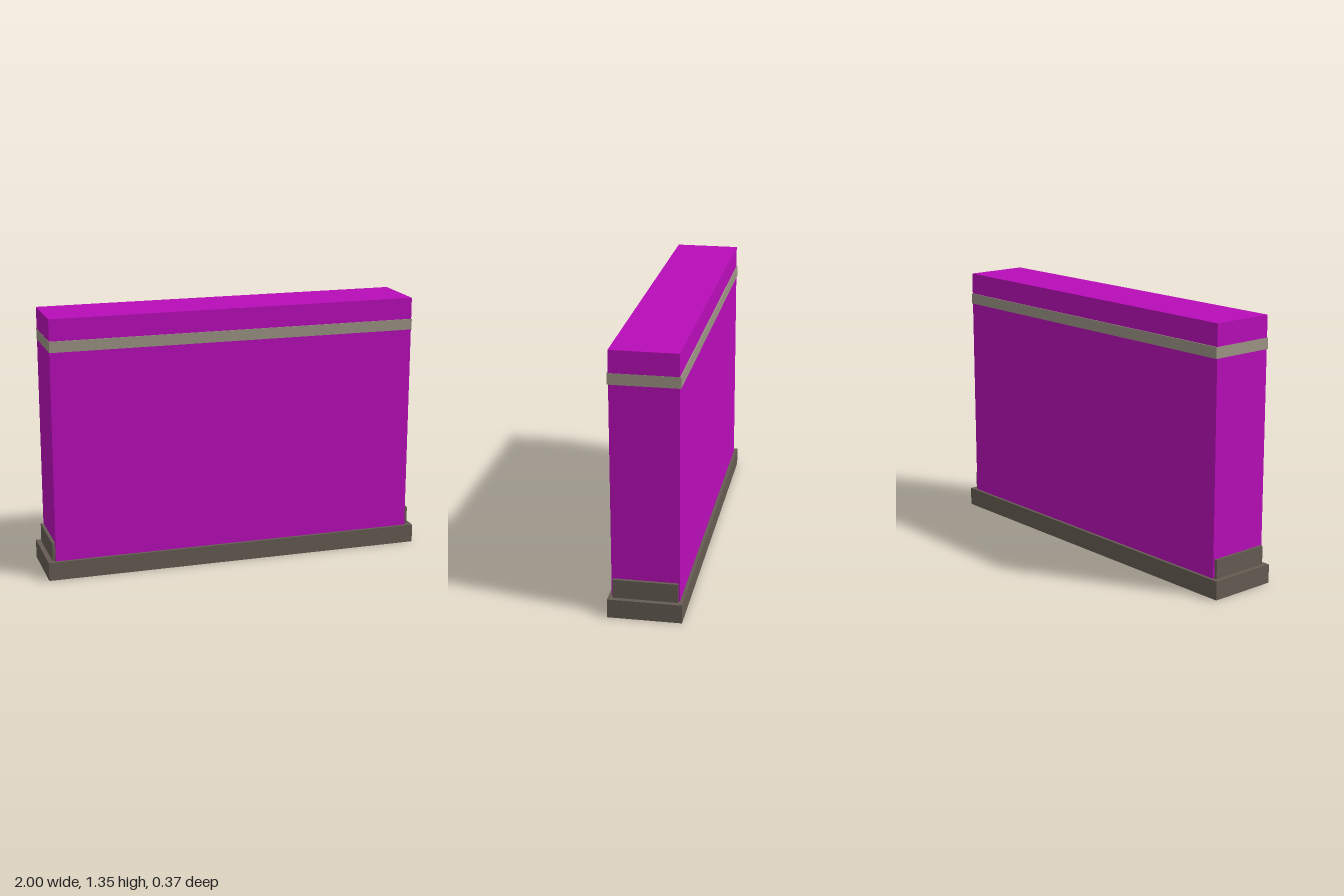
import * as THREE from 'three';

const mat = (color) => new THREE.MeshStandardMaterial({ color });

export function createModel() {
  const model = new THREE.Group();
  const purple = mat(0xb80db8), stone = mat(0x655c52), trim = mat(0x9c9484);

  const box = (name, w, y0, y1, d, material, x = 0, z = 0) => {
    const mesh = new THREE.Mesh(new THREE.BoxGeometry(w, y1 - y0, d), material);
    mesh.name = name;
    mesh.position.set(x, (y0 + y1) / 2, z);
    model.add(mesh);
  };
  const rectangle = (PathType, x, y) => new PathType([
    new THREE.Vector2(-x, -y), new THREE.Vector2(x, -y),
    new THREE.Vector2(x, y), new THREE.Vector2(-x, y),
  ]);

  // Wall block, running down through the base frame
  box('wall', 1.92, 0, 1.347, 0.334, purple);

  // Base frame around the foot of the wall
  const outline = rectangle(THREE.Shape, 1, 0.183);
  outline.holes.push(rectangle(THREE.Path, 0.96, 0.167));
  const frame = new THREE.ExtrudeGeometry(outline, { depth: 0.096, bevelEnabled: false });
  frame.rotateX(-Math.PI / 2);
  const base = new THREE.Mesh(frame, stone);
  base.name = 'baseFrame';
  model.add(base);

  // Low plinth step on each end
  for (const side of [1, -1]) {
    box(side > 0 ? 'leftPlinth' : 'rightPlinth', 0.016, 0.096, 0.192, 0.318, stone, side * 0.968);
  }

  // Trim band near the top, barely proud of the end faces
  box('trimBand', 1.922, 1.18, 1.236, 0.346, trim);

  return model;
}
